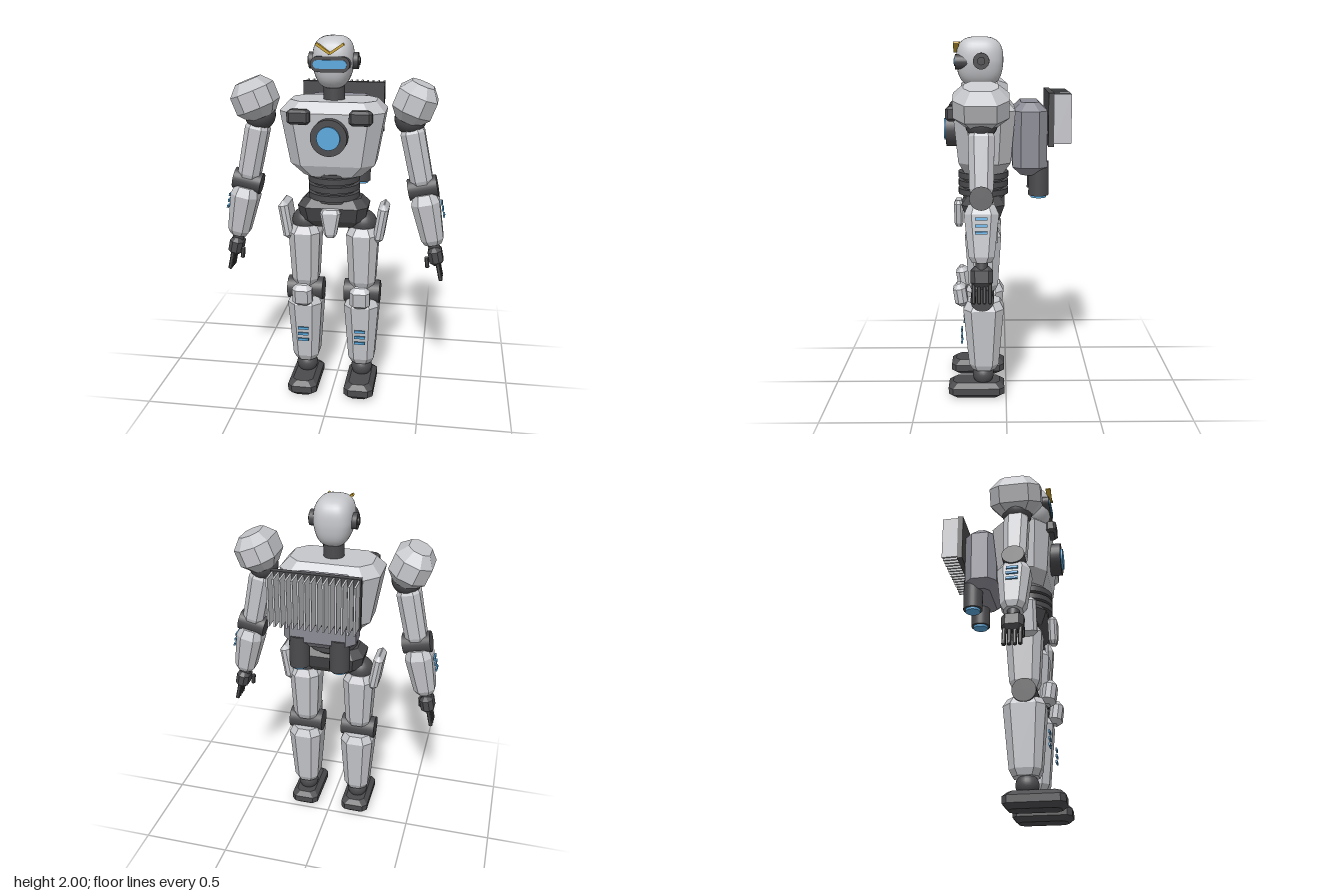
import * as THREE from 'three';
import { mergeVertices } from 'three/addons/utils/BufferGeometryUtils.js';

const mat = (name, color) => {
  const m = new THREE.MeshStandardMaterial({ color });
  m.name = name;
  return m;
};

export function createModel() {
  const light = mat('light grey armour', 0xc6c7cb);
  const dark = mat('dark grey frame', 0x4b4b4e);
  const mid = mat('backpack grey', 0x8c8c96);
  const blue = mat('blue glow', 0x5aa8dc);
  const gold = mat('gold', 0xc9a02c);
  const Z = 0.125; // depth of the body's centre line
  const root = new THREE.Group();

  const add = (parent, name, geo, m, x = 0, y = 0, z = 0, rx = 0, rz = 0) => {
    const mesh = new THREE.Mesh(geo, m);
    mesh.name = name;
    mesh.position.set(x, y, z);
    mesh.rotation.set(rx, 0, rz);
    parent.add(mesh);
    return mesh;
  };

  // Faceted solid from octagonal sections: [y, half width, half depth, corner cut, z shift]
  const loft = (sections) => {
    const loops = sections.map(([y, a, b, cut, dz = 0]) => {
      const c = Math.min(cut, a * 0.6, b * 0.6);
      return [[a, b - c], [a - c, b], [c - a, b], [-a, b - c], [-a, c - b], [c - a, -b], [a - c, -b], [a, c - b]]
        .map(([x, z]) => [x, y, z + dz]);
    });
    const pos = [];
    const tri = (...p) => p.forEach((v) => pos.push(...v));
    for (let k = 0; k < loops.length - 1; k++) {
      const lo = loops[k], hi = loops[k + 1];
      for (let i = 0; i < 8; i++) {
        const j = (i + 1) % 8;
        tri(lo[i], hi[i], lo[j]);
        tri(lo[j], hi[i], hi[j]);
      }
    }
    const bottom = loops[0], top = loops[loops.length - 1];
    for (let i = 1; i < 7; i++) {
      tri(bottom[0], bottom[i], bottom[i + 1]);
      tri(top[0], top[i + 1], top[i]);
    }
    const g = new THREE.BufferGeometry();
    g.setAttribute('position', new THREE.Float32BufferAttribute(pos, 3));
    g.computeVertexNormals();
    return g;
  };

  // Box with every edge chamfered
  const block = (w, h, d, c) => loft([
    [-h / 2, w / 2 - c, d / 2 - c, c], [-h / 2 + c, w / 2, d / 2, c],
    [h / 2 - c, w / 2, d / 2, c], [h / 2, w / 2 - c, d / 2 - c, c],
  ]);
  const cyl = (r, h, axis = 'y') => {
    const g = new THREE.CylinderGeometry(r, r, h, 28);
    if (axis === 'x') g.rotateZ(Math.PI / 2);
    if (axis === 'z') g.rotateX(Math.PI / 2);
    return g;
  };
  const ball = (r) => new THREE.SphereGeometry(r, 24, 16);
  const box = (w, h, d) => new THREE.BoxGeometry(w, h, d);

  // Flat plate with fully rounded ends
  const pill = (w, h, d) => {
    const r = h / 2, s = new THREE.Shape();
    s.absarc(w / 2 - r, 0, r, -Math.PI / 2, Math.PI / 2);
    s.absarc(r - w / 2, 0, r, Math.PI / 2, Math.PI * 1.5);
    return new THREE.ExtrudeGeometry(s, { depth: d, bevelEnabled: false, curveSegments: 10 });
  };

  // Head: a squared-off sphere narrowing to the chin
  const head = new THREE.Group();
  head.name = 'head';
  root.add(head);
  let skull = new THREE.SphereGeometry(1, 40, 28);
  skull.deleteAttribute('uv');
  skull.deleteAttribute('normal');
  skull = mergeVertices(skull);
  const p = skull.attributes.position;
  for (let i = 0; i < p.count; i++) {
    const v = new THREE.Vector3().fromBufferAttribute(p, i);
    v.divideScalar(Math.cbrt(Math.abs(v.x) ** 3 + Math.abs(v.y) ** 3 + Math.abs(v.z) ** 3));
    const chin = Math.max(0, -v.y);
    p.setXYZ(i, v.x * 0.105 * (1 - 0.2 * chin), v.y * 0.133, v.z * 0.127 * (1 - 0.1 * chin));
  }
  skull.computeVertexNormals();
  add(head, 'skull', skull, light, 0, 1.867, 0.14);
  add(head, 'visorFrame', pill(0.2, 0.078, 0.08), dark, 0, 1.868, 0.19);
  add(head, 'visor', pill(0.17, 0.042, 0.008), blue, 0, 1.868, 0.268);
  for (const s of [1, -1]) {
    add(head, 'browBar', box(0.084, 0.013, 0.03), gold, s * 0.035, 1.945, 0.265, 0, s * 0.6);
    add(head, 'earDisc', cyl(0.043, 0.04, 'x'), dark, s * 0.108, 1.873, 0.13);
    add(head, 'earCap', cyl(0.021, 0.012, 'x'), dark, s * 0.13, 1.873, 0.13);
  }
  add(root, 'neck', cyl(0.057, 0.13), dark, 0, 1.71, Z);

  // Torso
  add(root, 'chest', loft([
    [1.275, 0.155, 0.105, 0.05, 0.12], [1.34, 0.225, 0.14, 0.065, 0.115],
    [1.62, 0.275, 0.165, 0.075, 0.115], [1.675, 0.225, 0.12, 0.06, 0.115],
  ]), light);
  add(root, 'chestRing', cyl(0.095, 0.075, 'z'), dark, 0, 1.505, 0.288);
  add(root, 'chestLens', cyl(0.06, 0.012, 'z'), blue, 0, 1.505, 0.331);
  for (const s of [1, -1]) {
    add(root, 'chestVent', block(0.118, 0.076, 0.06, 0.014), dark, s * 0.16, 1.605, 0.288);
  }
  add(root, 'waistCore', cyl(0.115, 0.16), dark, 0, 1.21, Z);
  for (const y of [1.256, 1.21, 1.164]) add(root, 'waistRing', cyl(0.139, 0.032), dark, 0, y, Z);
  add(root, 'pelvis', loft([
    [0.985, 0.13, 0.06, 0.04], [1.025, 0.175, 0.09, 0.045],
    [1.105, 0.19, 0.118, 0.05], [1.15, 0.15, 0.085, 0.04],
  ]), dark, 0, 0, Z);
  add(root, 'frontGuard', loft([
    [0.955, 0.022, 0.016, 0.01], [0.975, 0.034, 0.024, 0.012],
    [1.09, 0.055, 0.026, 0.014], [1.11, 0.045, 0.016, 0.012],
  ]), light, 0, 0, 0.264);

  // Backpack with cooling fins and thrusters
  const pack = new THREE.Group();
  pack.name = 'backpack';
  root.add(pack);
  add(pack, 'packBody', block(0.39, 0.39, 0.185, 0.045), mid, 0, 1.465, -0.127);
  add(pack, 'finPlate', box(0.465, 0.28, 0.03), dark, 0, 1.575, -0.235);
  for (let i = -7; i <= 7; i++) {
    add(pack, 'coolingFin', box(0.01, 0.26, 0.092), light, i * 0.0316, 1.58, -0.295);
  }
  for (const s of [1, -1]) {
    add(pack, 'thruster', cyl(0.055, 0.185), dark, s * 0.11, 1.25, -0.177);
    add(pack, 'thrusterGlow', cyl(0.042, 0.015), blue, s * 0.11, 1.152, -0.177);
  }

  for (const s of [1, -1]) {
    const side = s > 0 ? 'left' : 'right';

    // Leg
    const leg = new THREE.Group();
    leg.name = side + 'Leg';
    leg.position.set(s * 0.16, 0, Z);
    root.add(leg);
    add(leg, 'hipJoint', ball(0.075), dark, 0, 1.0, 0);
    add(leg, 'hipGuard', block(0.055, 0.22, 0.16, 0.025), light, s * 0.1, 1.012, 0, 0, -s * 0.16);
    add(leg, 'thigh', loft([
      [0.635, 0.06, 0.065, 0.03], [0.67, 0.073, 0.08, 0.035],
      [0.945, 0.087, 0.098, 0.04], [0.985, 0.066, 0.075, 0.035],
    ]), light);
    add(leg, 'kneeJoint', cyl(0.064, 0.2, 'x'), dark, 0, 0.598, 0.006);
    add(leg, 'kneeCap', block(0.11, 0.13, 0.07, 0.025), light, 0, 0.605, 0.128, 0.14);
    add(leg, 'shin', loft([
      [0.165, 0.058, 0.066, 0.03], [0.2, 0.073, 0.083, 0.035],
      [0.53, 0.096, 0.112, 0.045], [0.572, 0.075, 0.09, 0.04],
    ]), light);
    for (const y of [0.395, 0.36, 0.325]) {
      add(leg, 'shinLight', box(0.06, 0.014, 0.009), blue, 0, y, 0.123);
    }
    add(leg, 'ankle', ball(0.06), dark, 0, 0.125, 0.005);
    add(leg, 'foot', block(0.165, 0.09, 0.315, 0.026), dark, 0, 0.046, 0.043);

    // Arm, hanging outward from the shoulder
    const arm = new THREE.Group();
    arm.name = side + 'Arm';
    arm.position.set(s * 0.4, 1.58, Z);
    arm.rotation.z = s * 0.21;
    root.add(arm);
    add(root, side + 'ShoulderPad', loft([
      [-0.105, 0.065, 0.085, 0.05], [-0.05, 0.105, 0.139, 0.06],
      [0.045, 0.105, 0.139, 0.06], [0.1, 0.06, 0.085, 0.05],
    ]), light, s * 0.425, 1.67, Z, 0, -s * 0.38);
    add(arm, 'shoulderJoint', ball(0.083), dark);
    add(arm, 'upperArm', loft([
      [-0.36, 0.05, 0.05, 0.025], [-0.33, 0.06, 0.06, 0.03],
      [-0.07, 0.063, 0.066, 0.03], [-0.03, 0.045, 0.048, 0.025],
    ]), light);
    add(arm, 'elbow', cyl(0.059, 0.155, 'x'), dark, 0, -0.377, 0);
    add(arm, 'forearm', loft([
      [-0.695, 0.045, 0.048, 0.025], [-0.665, 0.06, 0.064, 0.03],
      [-0.455, 0.076, 0.087, 0.038], [-0.405, 0.06, 0.065, 0.03],
    ]), light);
    for (const y of [-0.475, -0.51, -0.545]) {
      add(arm, 'forearmLight', box(0.009, 0.014, 0.06), blue, s * 0.084, y, 0);
    }
    add(arm, 'wrist', cyl(0.032, 0.05), dark, 0, -0.705, 0);
    add(arm, 'palm', block(0.075, 0.105, 0.112, 0.022), dark, 0, -0.765, 0);
    for (let i = 0; i < 4; i++) {
      add(arm, 'finger', block(0.022, 0.11, 0.02, 0.005), dark, s * 0.006, -0.848, (i - 1.5) * 0.027);
    }
    add(arm, 'thumb', block(0.022, 0.065, 0.022, 0.005), dark, -s * 0.05, -0.785, 0.04, 0, -s * 0.1);
  }
  return root;
}
